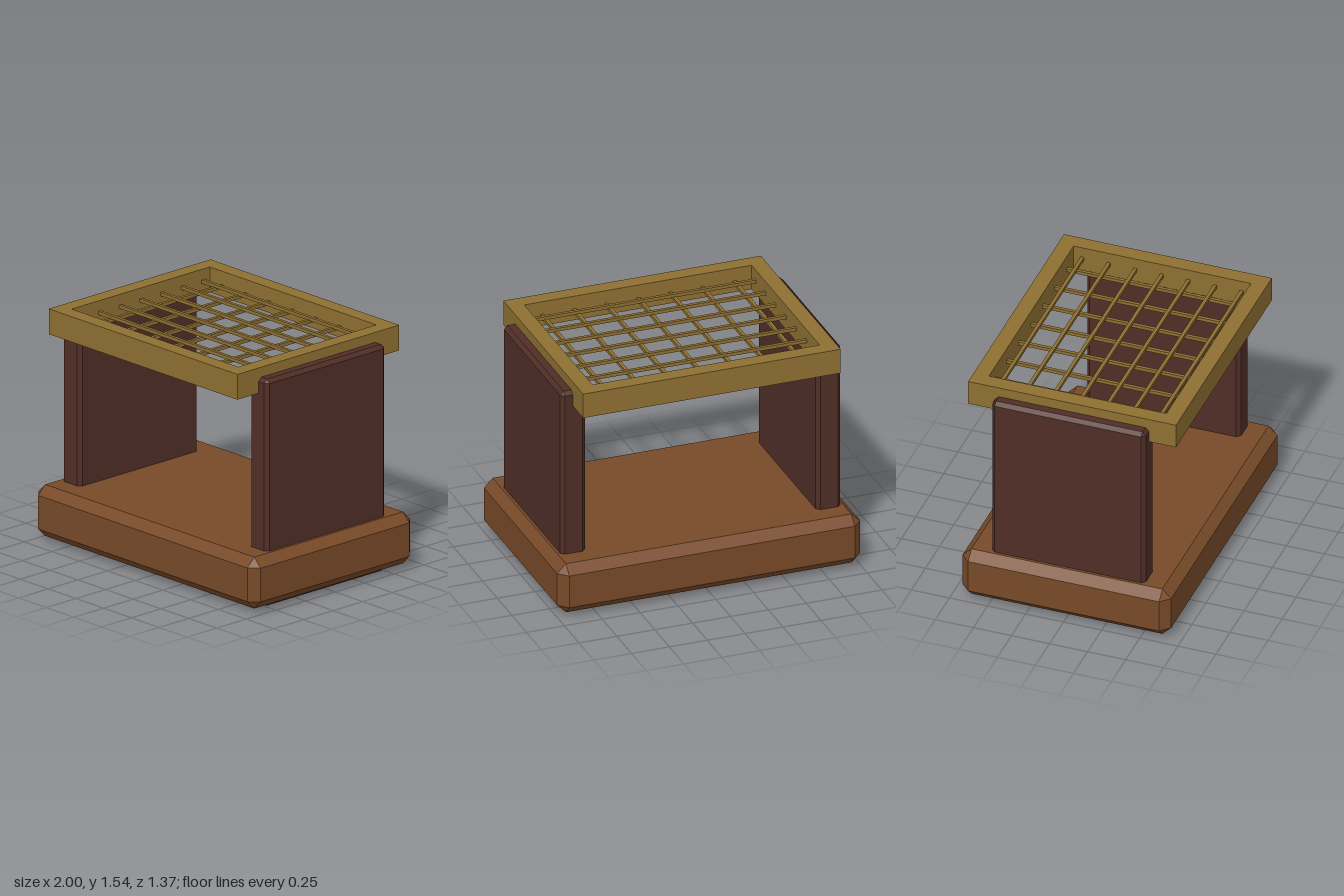
import * as THREE from 'three';
import { ConvexGeometry } from 'three/addons/geometries/ConvexGeometry.js';

const paint = (color) => new THREE.MeshStandardMaterial({ color, flatShading: true });

// Box with every edge and corner chamfered by c: each corner gives three hull points
function chamferedBox(w, h, d, c) {
  const points = [];
  for (const x of [-w / 2, w / 2])
    for (const y of [-h / 2, h / 2])
      for (const z of [-d / 2, d / 2]) {
        const ix = x - Math.sign(x) * c, iy = y - Math.sign(y) * c, iz = z - Math.sign(z) * c;
        points.push(
          new THREE.Vector3(x, iy, iz),
          new THREE.Vector3(ix, y, iz),
          new THREE.Vector3(ix, iy, z)
        );
      }
  return new ConvexGeometry(points);
}

function rectangle(Type, w, d) {
  return new Type([
    new THREE.Vector2(-w / 2, -d / 2), new THREE.Vector2(w / 2, -d / 2),
    new THREE.Vector2(w / 2, d / 2), new THREE.Vector2(-w / 2, d / 2),
  ]);
}

export function createModel() {
  const model = new THREE.Group();
  model.name = 'siftingTable';
  const baseWood = paint(0x784a28);
  const panelWood = paint(0x502e26);
  const frameWood = paint(0x8e7032);

  const add = (name, geometry, material, x, y, z, parent = model) => {
    const mesh = new THREE.Mesh(geometry, material);
    mesh.name = name;
    mesh.position.set(x, y, z);
    parent.add(mesh);
    return mesh;
  };

  // Heavy chamfered base slab
  add('base', chamferedBox(2, 0.335, 1.37, 0.058), baseWood, 0, 0.1925, 0);

  // Side panels, passing through the base
  const panel = chamferedBox(0.163, 1.475, 1.01, 0.024);
  add('leftPanel', panel, panelWood, 0.843, 0.7375, 0);
  add('rightPanel', panel, panelWood, -0.843, 0.7375, 0);

  // Open rectangular frame on top
  const outline = rectangle(THREE.Shape, 1.7, 1.365);
  outline.holes.push(rectangle(THREE.Path, 1.5, 1.165));
  const frame = new THREE.ExtrudeGeometry(outline, { depth: 0.165, bevelEnabled: false });
  frame.rotateX(-Math.PI / 2);
  add('frame', frame, frameWood, 0, 1.375, 0);

  // Lattice of crossed bars, ends set into the frame
  const lattice = new THREE.Group();
  lattice.name = 'lattice';
  model.add(lattice);
  const longBar = new THREE.BoxGeometry(1.52, 0.022, 0.022);
  const crossBar = new THREE.BoxGeometry(0.022, 0.022, 1.18);
  for (let i = -3; i <= 3; i++) {
    add('longBar', longBar, frameWood, 0, 1.461, i * 0.1743 - 0.002, lattice);
    add('crossBar', crossBar, frameWood, i * 0.2115 - 0.003, 1.443, 0, lattice);
  }
  return model;
}
